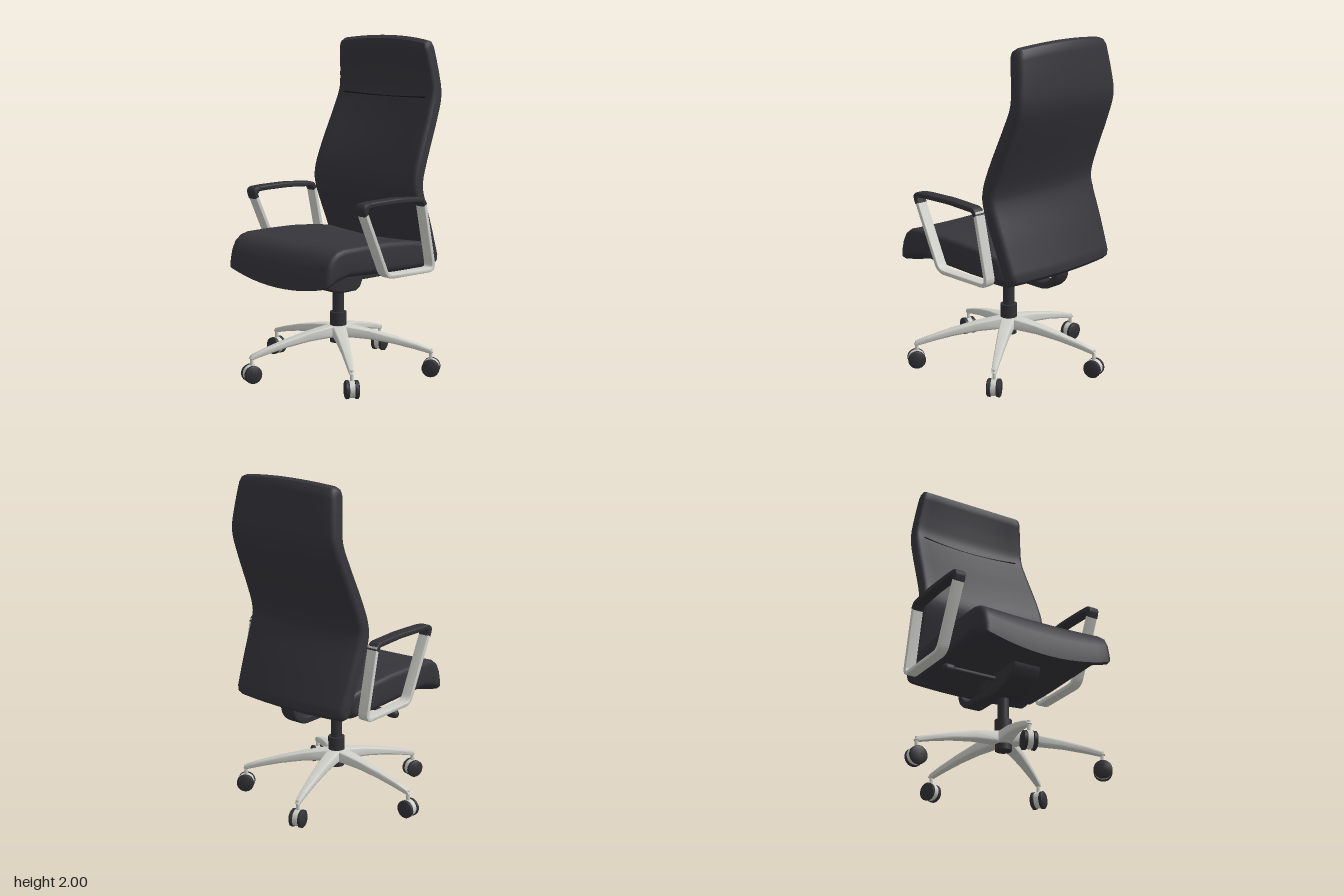
import * as THREE from 'three';
import { toCreasedNormals } from 'three/addons/utils/BufferGeometryUtils.js';

const material = (name, color) => Object.assign(new THREE.MeshStandardMaterial({ color }), { name });
const V = (a, b) => new THREE.Vector2(a, b);
const clamp = THREE.MathUtils.clamp;

// Replace the inner corners of a path with small curves.
function roundPath(pts, r) {
  const out = [V(...pts[0])];
  for (let i = 1; i < pts.length - 1; i++) {
    const p = V(...pts[i]), a = V(...pts[i - 1]).sub(p), b = V(...pts[i + 1]).sub(p);
    const cut = Math.min(r, a.length() * 0.45, b.length() * 0.45);
    const curve = new THREE.QuadraticBezierCurve(p.clone().add(a.setLength(cut)), p, p.clone().add(b.setLength(cut)));
    out.push(...curve.getPoints(4));
  }
  out.push(V(...pts[pts.length - 1]));
  return out;
}

// Outline of a band of the given thickness along a path, with optional round ends.
function band(path, thickness, round = false) {
  const h = thickness / 2, left = [], right = [], n = path.length;
  const dir = (i) => path[i + 1].clone().sub(path[i]).normalize();
  path.forEach((p, i) => {
    const d0 = dir(Math.max(i - 1, 0)), d1 = dir(Math.min(i, n - 2));
    const t = d0.clone().add(d1).normalize();
    const m = V(-t.y, t.x).multiplyScalar(h / Math.max(0.5, t.dot(d1)));
    left.push(p.clone().add(m));
    right.push(p.clone().sub(m));
  });
  const cap = (p, t) => !round ? [] : [0.25, 0.5, 0.75].map((k) => {
    const a = k * Math.PI, s = V(-t.y, t.x);
    return p.clone().addScaledVector(s, h * Math.cos(a)).addScaledVector(t, h * Math.sin(a));
  });
  return [...left, ...cap(path[n - 1], dir(n - 2)), ...right.reverse(), ...cap(path[0], dir(0).negate())];
}

// Side outline (z, y) extruded across x, with soft edges and an optional vertex rule.
function slab(pts, width, bevel, steps = 1, rule = null) {
  const depth = width - 2 * bevel;
  const g = new THREE.ExtrudeGeometry(new THREE.Shape(pts), {
    depth, steps, bevelEnabled: bevel > 0, bevelSize: bevel, bevelThickness: bevel,
    bevelOffset: -bevel, bevelSegments: 4,
  });
  g.translate(0, 0, -depth / 2).rotateY(-Math.PI / 2);
  if (rule) {
    const p = g.attributes.position, v = new THREE.Vector3();
    for (let i = 0; i < p.count; i++) {
      rule(v.fromBufferAttribute(p, i));
      p.setXYZ(i, v.x, v.y, v.z);
    }
  }
  return toCreasedNormals(g, 0.75);
}

export function createModel() {
  const upholstery = material('charcoal upholstery', 0x35353b);
  const plastic = material('dark plastic', 0x323237);
  const metal = material('polished metal', 0xcfcfca);
  const stitch = material('seam black', 0x151518);

  const model = new THREE.Group();
  model.name = 'officeChair';
  model.position.x = 0.045;
  const add = (parent, name, geo, mat, x = 0, y = 0, z = 0) => {
    const m = new THREE.Mesh(geo, mat);
    m.name = name;
    m.position.set(x, y, z);
    parent.add(m);
    return m;
  };
  const cyl = (r0, r1, h, n = 24) => new THREE.CylinderGeometry(r0, r1, h, n);

  // Upper chair, swivelled a little on its column
  const upper = new THREE.Group();
  upper.name = 'upperChair';
  upper.rotation.y = 0.024;
  model.add(upper);

  // Seat cushion with a sagging underside
  const seatPts = [[0.495, 0.655], [0.492, 0.70], [0.478, 0.76], [0.452, 0.81], [0.41, 0.84], [0.36, 0.852],
    [0.2, 0.852], [0, 0.847], [-0.2, 0.83], [-0.32, 0.81], [-0.35, 0.78], [-0.35, 0.69], [-0.32, 0.665],
    [-0.1, 0.67], [0.15, 0.685], [0.32, 0.695], [0.41, 0.675], [0.47, 0.648]];
  add(upper, 'seat', slab(seatPts.map((p) => V(...p)), 0.85, 0.03, 12, (v) => {
    const bow = 1 - (v.x / 0.425) ** 2;
    v.y -= bow * (0.012 + 0.052 * clamp((0.84 - v.y) / 0.15, 0, 1));
  }), upholstery);

  // Backrest: bent in profile, bowed across, narrower at the top
  const spine = new THREE.SplineCurve([[-0.39, 0.70], [-0.325, 0.88], [-0.25, 1.08], [-0.243, 1.18],
    [-0.29, 1.32], [-0.375, 1.52], [-0.425, 1.66], [-0.42, 1.78], [-0.395, 1.935]].map((p) => V(...p)));
  const widths = new THREE.SplineCurve([[0.66, 0.415], [1.1, 0.431], [1.6, 0.405], [1.85, 0.377], [1.98, 0.357]].map((p) => V(...p))).getPoints(40);
  const halfWidth = (y) => {
    const i = clamp(widths.findIndex((p) => p.x >= y), 1, 40);
    const a = widths[i - 1], b = widths[i];
    return THREE.MathUtils.lerp(a.y, b.y, clamp((y - a.x) / (b.x - a.x), 0, 1));
  };
  add(upper, 'backrest', slab(band(spine.getPoints(36), 0.09, true), 0.86, 0.03, 12, (v) => {
    const bow = 1 - (v.x / 0.43) ** 2;
    v.x *= halfWidth(v.y) / 0.43;
    v.z -= 0.037 * bow;
    v.y += 0.025 * bow * clamp((v.y - 1.5) / 0.4, 0, 1);
  }), upholstery);

  // Headrest seam
  const seam = [];
  for (let i = -6; i <= 6; i++) {
    const u = i / 6;
    seam.push(new THREE.Vector3(u * 0.34, 1.64 + 0.01 * u * u, -0.374 - 0.037 * (1 - 0.7 * u * u)));
  }
  add(upper, 'headrestSeam', new THREE.TubeGeometry(new THREE.CatmullRomCurve3(seam), 32, 0.0045, 6), stitch);

  // Armrests: metal loop with a dark pad on top
  const frame = slab(band(roundPath([[0.268, 1.06], [0.085, 0.665], [-0.305, 0.655], [-0.215, 1.07]], 0.045), 0.024), 0.068, 0.004);
  const pad = slab(band(roundPath([[0.258, 1.035], [0.278, 1.086], [0.2, 1.092], [0, 1.092], [-0.2, 1.078], [-0.222, 1.045]], 0.035), 0.03), 0.072, 0.008);
  for (const [side, s] of [['left', 1], ['right', -1]]) {
    add(upper, side + 'ArmFrame', frame, metal, s * 0.463);
    add(upper, side + 'ArmPad', pad, plastic, s * 0.463);
  }

  // Tilt mechanism, back bracket and height lever
  const bowl = [[0.26, 0.64], [0.255, 0.595], [0.22, 0.56], [0.13, 0.52], [0.06, 0.5], [-0.07, 0.5], [-0.1, 0.52], [-0.12, 0.56], [-0.12, 0.64]];
  add(upper, 'tiltMechanism', slab(bowl.map((p) => V(...p)), 0.185, 0.015), plastic);
  add(upper, 'backBracket', slab(band(roundPath([[-0.08, 0.57], [-0.345, 0.565], [-0.415, 0.62], [-0.42, 0.72]], 0.08), 0.042), 0.1, 0.008), plastic);
  add(upper, 'lever', cyl(0.014, 0.014, 0.34, 12), plastic, -0.22, 0.593, 0.05).rotation.z = Math.PI / 2;
  add(upper, 'leverKnob', new THREE.CapsuleGeometry(0.026, 0.03, 6, 16), plastic, -0.395, 0.59, 0.05).rotation.z = Math.PI / 2;

  // Gas column and hub
  add(model, 'gasPiston', cyl(0.034, 0.034, 0.2), plastic, 0, 0.42);
  add(model, 'columnCollar', cyl(0.05, 0.05, 0.09), plastic, 0, 0.325);
  add(model, 'hub', cyl(0.052, 0.05, 0.07), metal, 0, 0.255);
  add(model, 'columnFoot', cyl(0.048, 0.048, 0.04), plastic, 0, 0.205);

  // Five-star base with twin-wheel casters
  const legPts = [[0, 0.295], [0.08, 0.285], [0.2, 0.265], [0.35, 0.23], [0.48, 0.193], [0.56, 0.165], [0.576, 0.145],
    [0.555, 0.138], [0.46, 0.163], [0.34, 0.19], [0.2, 0.212], [0.08, 0.22], [0, 0.22]];
  const leg = slab(legPts.map((p) => V(...p)), 0.09, 0.012, 1, (v) => { v.x *= 1 - 1.15 * clamp(v.z, 0, 0.58); });
  const wheel = toCreasedNormals(new THREE.LatheGeometry([[0, -0.014], [0.044, -0.014], [0.053, -0.008], [0.053, 0.008],
    [0.044, 0.014], [0, 0.014]].map((p) => V(...p)), 24), 0.6).rotateZ(Math.PI / 2);
  const core = cyl(0.05, 0.05, 0.03, 20).rotateZ(Math.PI / 2);
  for (let i = 0; i < 5; i++) {
    const spoke = new THREE.Group();
    spoke.name = 'baseSpoke' + (i + 1);
    spoke.rotation.y = Math.PI / 2 - THREE.MathUtils.degToRad(179 + 72 * i);
    add(spoke, 'leg', leg, metal);
    add(spoke, 'casterStem', cyl(0.011, 0.011, 0.08, 12), metal, 0, 0.125, 0.56);
    add(spoke, 'casterCore', core, metal, 0, 0.056, 0.562);
    for (const s of [-1, 1]) add(spoke, 'casterWheel', wheel, plastic, s * 0.027, 0.053, 0.562);
    model.add(spoke);
  }
  return model;
}
